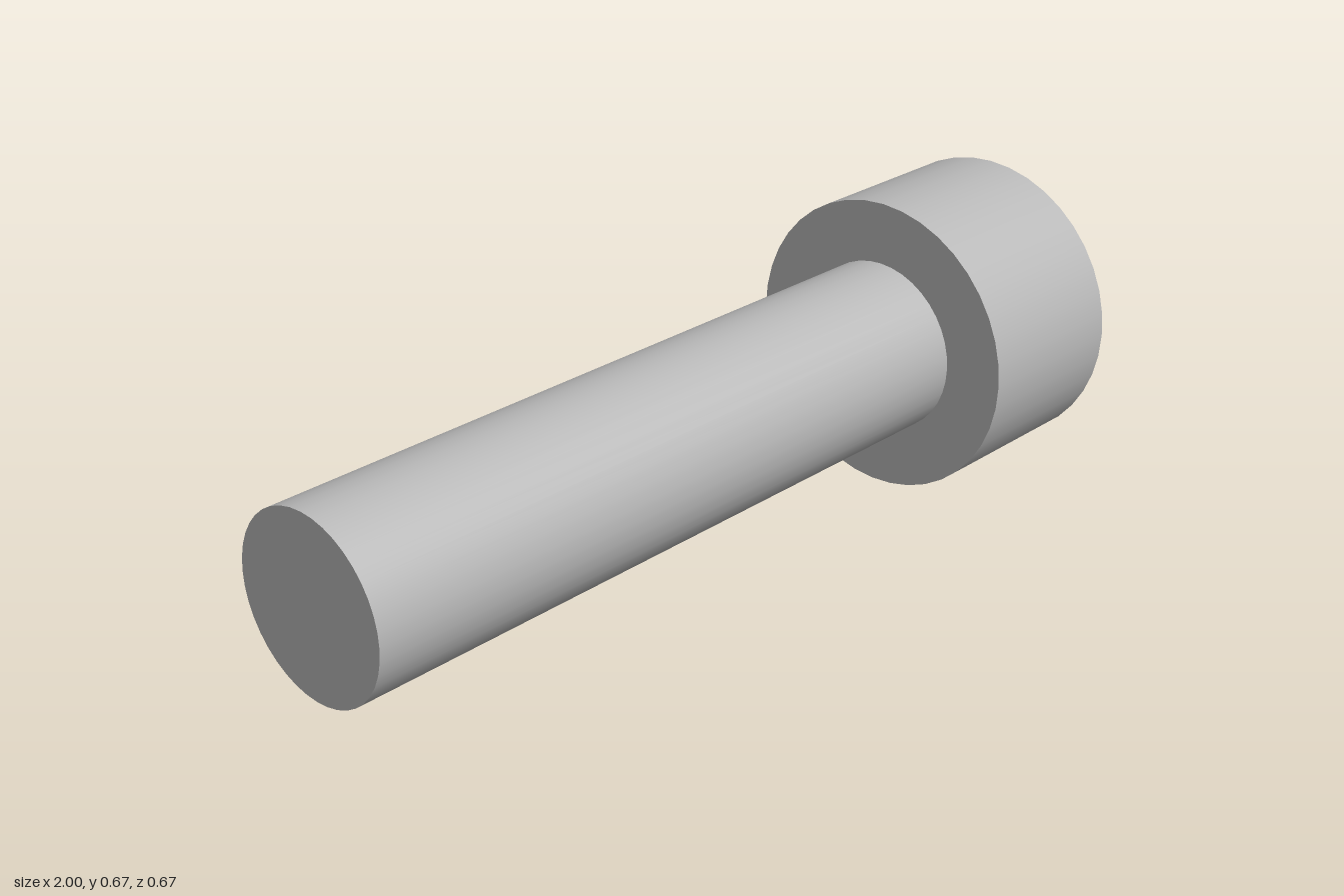
import * as THREE from 'three';

const HEAD_R = 0.337, SHAFT_R = 0.197, HEX_R = 0.178;
const TAIL_X = -1, SHOULDER_X = 0.606, FACE_X = 1, SOCKET_X = 0.8;
const SIDES = 40;

export function createModel() {
  const bolt = new THREE.Group();
  bolt.name = 'socketHeadBolt';
  const steel = new THREE.MeshStandardMaterial({ color: 0xb8b8b8 });
  steel.name = 'greySteel';

  const add = (name, geometry, x) => {
    const mesh = new THREE.Mesh(geometry, steel);
    mesh.name = name;
    mesh.position.set(x, HEAD_R, 0);
    bolt.add(mesh);
  };
  // open tube running along x
  const tube = (r, x0, x1, sides) =>
    new THREE.CylinderGeometry(r, r, x1 - x0, sides, 1, true).rotateZ(-Math.PI / 2);
  // flat pieces drawn in xy, turned to face +x or -x
  const facing = (geometry, dir) => geometry.rotateY(dir * Math.PI / 2);
  const polygon = (r, sides) => Array.from({ length: sides }, (_, i) => {
    const a = i / sides * Math.PI * 2;
    return new THREE.Vector2(r * Math.cos(a), r * Math.sin(a));
  });

  // shaft
  add('shaft', tube(SHAFT_R, TAIL_X, SHOULDER_X, SIDES), (TAIL_X + SHOULDER_X) / 2);
  add('shaftEnd', facing(new THREE.CircleGeometry(SHAFT_R, SIDES), -1), TAIL_X);

  // head with a hexagonal opening
  add('headSide', tube(HEAD_R, SHOULDER_X, FACE_X, SIDES), (SHOULDER_X + FACE_X) / 2);
  add('headUnderside', facing(new THREE.RingGeometry(SHAFT_R, HEAD_R, SIDES), -1), SHOULDER_X);
  const face = new THREE.Shape(polygon(HEAD_R, SIDES));
  face.holes.push(new THREE.Path(polygon(HEX_R, 6)));
  add('headFace', facing(new THREE.ShapeGeometry(face), 1), FACE_X);

  // socket walls, mirrored so that they face inward, with flat normals
  const walls = tube(HEX_R, SOCKET_X, FACE_X, 6).scale(1, 1, -1).toNonIndexed();
  walls.computeVertexNormals();
  add('socketWalls', walls, (SOCKET_X + FACE_X) / 2);
  add('socketFloor', facing(new THREE.CircleGeometry(HEX_R, 6), 1), SOCKET_X);

  return bolt;
}
